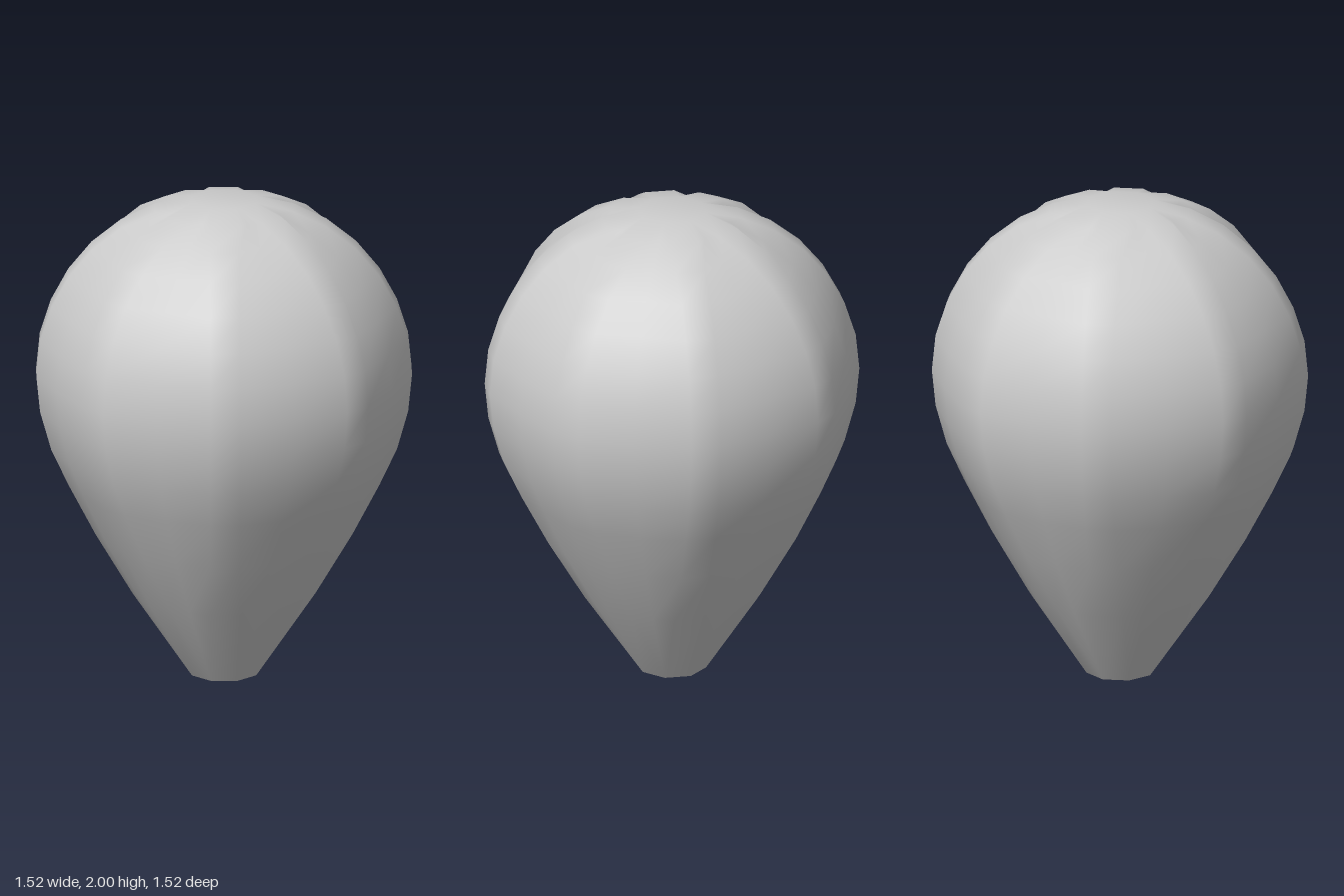
import * as THREE from 'three';
import { mergeVertices } from 'three/addons/utils/BufferGeometryUtils.js';

// Ridge profile, mouth to crown: [radius, height, bulge of the panel between ridges]
const PROFILE = [
  [0.13, 0, 0], [0.37, 0.35, 0.005], [0.52, 0.6, 0.01], [0.63, 0.81, 0.01],
  [0.70, 0.96, 0.01], [0.745, 1.12, 0.01], [0.76, 1.27, 0.01], [0.745, 1.42, 0.008],
  [0.70, 1.56, 0.003], [0.63, 1.69, -0.007], [0.535, 1.805, -0.018], [0.415, 1.9, -0.032],
  [0.28, 1.965, -0.044], [0.13, 2, 0],
];
const GORES = 8;
const STEP = (Math.PI * 2) / GORES;
const HALF_BAND = 0.06;

// Each gore gives three points per ring: both edges of a ridge band, then the panel middle
function createEnvelope() {
  const positions = [], index = [];
  const cols = GORES * 3;
  for (const [r, y, bulge] of PROFILE) {
    const w = Math.min(HALF_BAND, r * Math.tan(STEP / 2));
    const mid = r * Math.cos(STEP / 2) + w * Math.sin(STEP / 2) + bulge;
    for (let i = 0; i < GORES; i++) {
      const a = i * STEP;
      const ridge = Math.hypot(r, w), spread = Math.atan2(w, r);
      for (const [rad, ang] of [[ridge, a - spread], [ridge, a + spread], [mid, a + STEP / 2]]) {
        positions.push(rad * Math.sin(ang), y, rad * Math.cos(ang));
      }
    }
  }
  for (let j = 0; j < PROFILE.length - 1; j++) {
    for (let i = 0; i < cols; i++) {
      const a = j * cols + i, b = j * cols + (i + 1) % cols;
      index.push(a, b, b + cols, a, b + cols, a + cols);
    }
  }
  // Flat crown
  const centre = positions.length / 3, top = (PROFILE.length - 1) * cols;
  positions.push(0, 1.995, 0);
  for (let i = 0; i < cols; i++) index.push(top + i, top + (i + 1) % cols, centre);

  const geometry = new THREE.BufferGeometry();
  geometry.setAttribute('position', new THREE.Float32BufferAttribute(positions, 3));
  geometry.setIndex(index);
  // Weld the pinched panel ends so shading stays smooth
  const welded = mergeVertices(geometry, 1e-4);
  welded.computeVertexNormals();
  return welded;
}

export function createModel() {
  const group = new THREE.Group();
  group.name = 'balloon';
  // Open-mouthed fabric envelope, visible from inside too
  const material = new THREE.MeshStandardMaterial({ color: 0xcccccc, side: THREE.DoubleSide });
  const envelope = new THREE.Mesh(createEnvelope(), material);
  envelope.name = 'envelope';
  group.add(envelope);
  return group;
}
